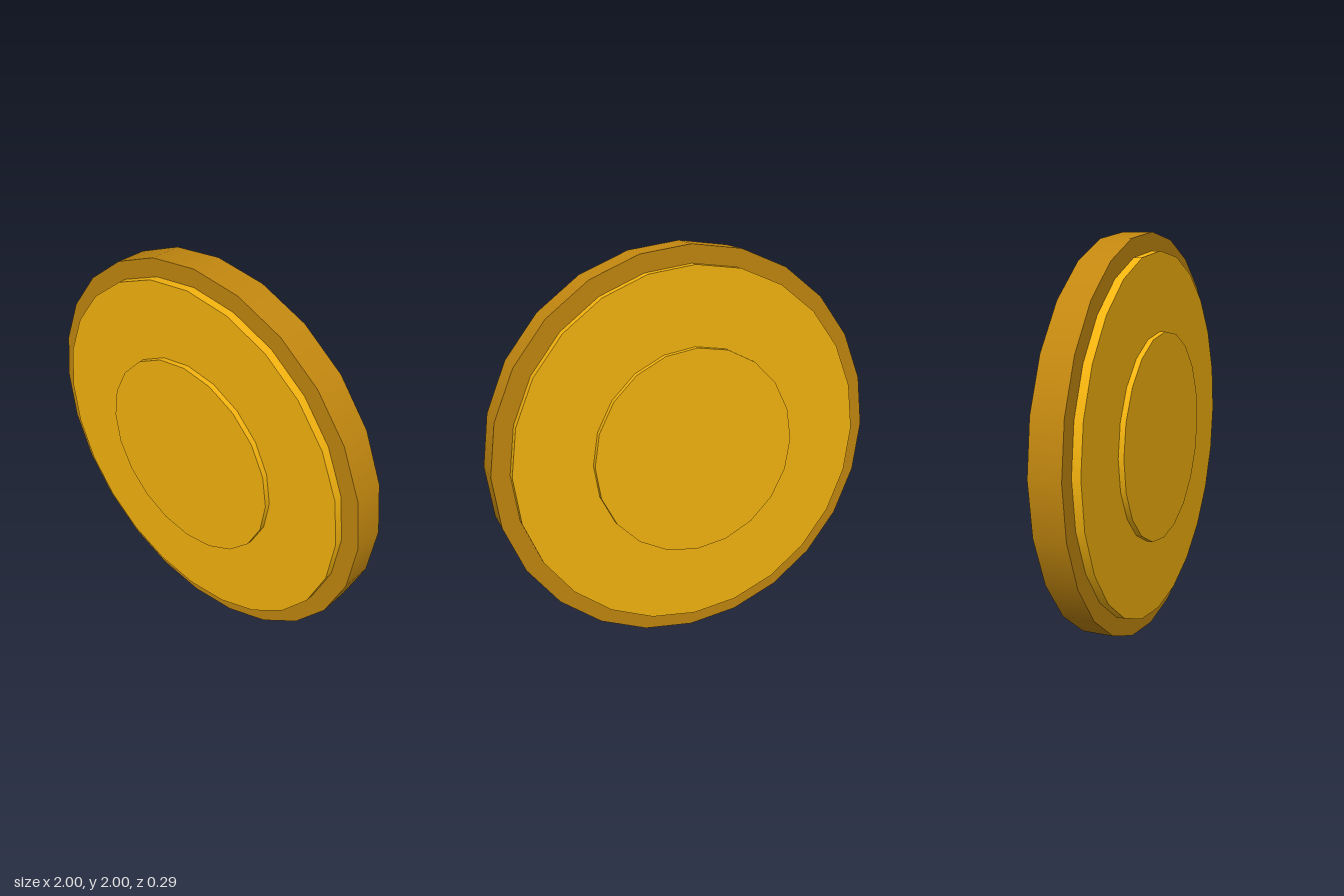
import * as THREE from 'three';

const GOLD = 0xf5b40f;
const DARK_GOLD = 0xc2870f;

export function createModel() {
  const coin = new THREE.Group();
  coin.name = 'coin';

  // Upright disc centred on the coin's axis, facing +z and -z
  const addDisc = (name, radius, thickness, sides, color) => {
    const geometry = new THREE.CylinderGeometry(radius, radius, thickness, sides);
    geometry.rotateX(Math.PI / 2);
    const disc = new THREE.Mesh(geometry, new THREE.MeshStandardMaterial({ color }));
    disc.name = name;
    disc.position.y = 1;
    coin.add(disc);
  };

  // Each disc is narrower and thicker than the last, so it steps out on both faces
  addDisc('rim', 1, 0.156, 24, DARK_GOLD);
  addDisc('faceDisc', 0.911, 0.24, 24, GOLD);
  addDisc('centreDisc', 0.525, 0.295, 20, GOLD);

  return coin;
}
